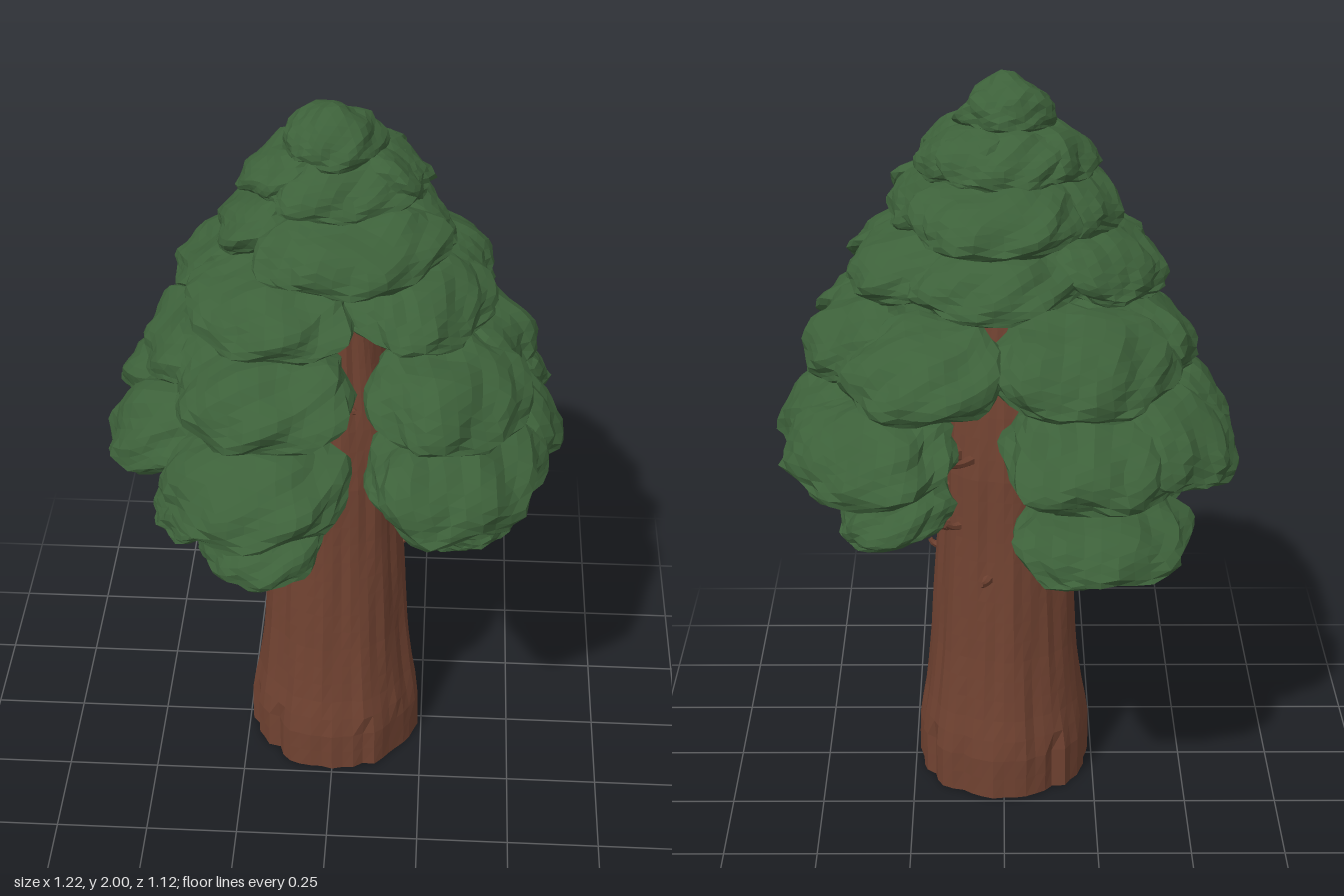
import * as THREE from 'three';

const bark = new THREE.MeshStandardMaterial({ color: 0x704231, flatShading: true });
const leaf = new THREE.MeshStandardMaterial({ color: 0x3d613a, flatShading: true });

// Tiers of foliage: height, half thickness, clumps as [x, z, half width, half depth]
const tiers = [
  { y: 0.855, h: 0.09, clumps: [[-0.34, 0.1, 0.16, 0.15], [-0.18, 0.28, 0.17, 0.15], [0.32, 0.09, 0.18, 0.15],
    [0.29, -0.17, 0.16, 0.15], [-0.25, -0.32, 0.26, 0.19]] },
  { y: 1.09, h: 0.12, clumps: [[-0.19, 0.34, 0.25, 0.2], [0.32, 0.27, 0.27, 0.19], [0.42, -0.02, 0.21, 0.17],
    [0.34, -0.31, 0.25, 0.18], [-0.23, -0.34, 0.25, 0.2], [-0.42, 0.08, 0.19, 0.18], [-0.41, -0.24, 0.21, 0.18]] },
  { y: 1.32, h: 0.11, clumps: [[-0.18, 0.27, 0.25, 0.19], [0.29, 0.25, 0.23, 0.18], [0.35, -0.08, 0.23, 0.17],
    [0.2, -0.34, 0.22, 0.18], [-0.2, -0.29, 0.26, 0.19], [-0.33, -0.02, 0.24, 0.18]] },
  { y: 1.53, h: 0.085, clumps: [[-0.16, 0.2, 0.24, 0.17], [0.22, 0.15, 0.22, 0.16], [0.24, -0.11, 0.2, 0.16],
    [0.04, -0.25, 0.23, 0.16], [-0.24, -0.1, 0.22, 0.17]] },
  { y: 1.68, h: 0.085, clumps: [[0.05, 0.17, 0.24, 0.15], [0.15, -0.03, 0.21, 0.14], [-0.15, -0.03, 0.22, 0.15],
    [0.02, -0.22, 0.21, 0.16]] },
  { y: 1.8, h: 0.075, clumps: [[0.02, 0.06, 0.19, 0.12], [0.1, -0.05, 0.17, 0.12], [-0.1, -0.04, 0.17, 0.13],
    [0, -0.12, 0.17, 0.12]] },
];

// Trunk radius by height, read between profile points
const profile = [[0, 0.235], [0.13, 0.235], [0.25, 0.215], [0.4, 0.2], [0.75, 0.18], [0.95, 0.175], [1.1, 0.16],
  [1.3, 0.13], [1.6, 0.092], [1.88, 0.03]];
function trunkRadius(y) {
  const i = Math.max(1, profile.findIndex((p) => p[0] >= y));
  const [a, b] = [profile[i - 1], profile[i]];
  return THREE.MathUtils.mapLinear(y, a[0], b[0], a[1], b[1]);
}

function add(parent, name, geometry, material) {
  const mesh = new THREE.Mesh(geometry, material);
  mesh.name = name;
  parent.add(mesh);
  return mesh;
}

function moveVertices(geometry, rule) {
  const pos = geometry.attributes.position;
  const v = new THREE.Vector3();
  for (let i = 0; i < pos.count; i++) {
    rule(v.fromBufferAttribute(pos, i), i);
    pos.setXYZ(i, v.x, v.y, v.z);
  }
  geometry.computeVertexNormals();
  return geometry;
}

// Ridged trunk with short splits around its foot
function trunkGeometry() {
  const g = new THREE.CylinderGeometry(1, 1, 1.88, 48, 32).translate(0, 0.94, 0);
  return moveVertices(g, (v) => {
    const a = Math.atan2(v.z, v.x);
    const ridge = 0.018 * Math.sin(7 * a + 2 * v.y) + 0.014 * Math.sin(13 * a - 3 * v.y)
      + 0.01 * Math.sin(21 * a + 9 * v.y);
    const split = v.y < 0.16 ? 0.07 * Math.max(0, Math.sin(11 * a + 1)) ** 12 : 0;
    const r = trunkRadius(v.y) * (1 + ridge - split);
    v.x *= r;
    v.z *= r;
  });
}

// Lumpy cushion, domed above, shallow below, drooping away from the trunk (local +z)
function clumpGeometry(width, h, depth, seed, peak = 0) {
  const g = new THREE.IcosahedronGeometry(1, 5);
  return moveVertices(g, (v) => {
    const { x, y, z } = v;
    const flat = Math.hypot(x, z);
    const lump = 1 + 0.055 * Math.sin(4.1 * x + seed * 1.7) * Math.cos(3.7 * z + seed)
      + 0.045 * Math.sin(6.3 * z + 3 * y + seed * 2.3) + 0.045 * Math.sin(8.7 * x - 5.1 * y + seed * 3.1)
      + 0.025 * Math.sin(13 * x + 11 * z + 9 * y + seed);
    const full = Math.pow(Math.max(flat, 0.01), -0.13) * lump;
    v.x = x * full * width;
    v.z = z * full * depth;
    v.y = h * (y > 0 ? y * lump : y * 0.6 * lump) + peak * Math.max(0, y) ** 4;
    v.y += h * (0.1 * Math.sin(5 * x + seed) * Math.cos(5 * z - seed) - (peak ? 0 : 0.45 * z));
  });
}

// Tapered, bent limb
function limbGeometry(points, r0, r1, sides = 6) {
  const curve = new THREE.CatmullRomCurve3(points);
  const steps = 8;
  const g = new THREE.TubeGeometry(curve, steps, 1, sides);
  return moveVertices(g, (v, i) => {
    const t = Math.floor(i / (sides + 1)) / steps;
    const c = curve.getPointAt(t);
    v.sub(c).multiplyScalar(r0 + (r1 - r0) * Math.sqrt(t)).add(c);
  });
}

export function createModel() {
  const tree = new THREE.Group();
  tree.name = 'tree';
  add(tree, 'trunk', trunkGeometry(), bark);

  const foliage = new THREE.Group();
  foliage.name = 'foliage';
  const branches = new THREE.Group();
  branches.name = 'branches';
  tree.add(foliage, branches);

  let seed = 1;
  tiers.forEach(({ y, h, clumps }, tier) => {
    for (const [x, z, width, depth] of clumps) {
      seed++;
      const angle = Math.atan2(x, z);
      const clump = add(foliage, 'foliageClump', clumpGeometry(width, h, depth, seed), leaf);
      clump.position.set(x, y, z);
      clump.rotation.y = angle;
      if (tier > 4) continue;

      // Main branch with two forks carrying the clump
      const dist = Math.hypot(x, z);
      const at = (out, side, py) => new THREE.Vector3(
        Math.sin(angle) * out + Math.cos(angle) * side, py, Math.cos(angle) * out - Math.sin(angle) * side);
      const low = y - h * 0.7;
      const r = trunkRadius(low);
      const thick = 0.034 - tier * 0.004;
      const mid = at((r + dist) / 2, 0.015 * Math.sin(seed), y - h * 0.5);
      add(branches, 'branch', limbGeometry(
        [at(r * 0.75, 0, low - 0.02), at(r + 0.02, 0, low), mid, at(dist, 0, y - h * 0.2)], thick, 0.012), bark);
      for (const side of [-1, 1]) {
        add(branches, 'fork', limbGeometry(
          [mid, at(dist * 0.85, side * width * 0.3, y - h * 0.5), at(dist, side * width * 0.55, y - h * 0.2)],
          thick * 0.5, 0.006, 5), bark);
      }
    }
  });

  // Pointed crown
  const crown = add(foliage, 'crown', clumpGeometry(0.125, 0.075, 0.12, 4, 0.03), leaf);
  crown.position.set(-0.01, 1.885, 0);

  // Bare stubs on the trunk: angle from the front, height, length
  for (const [angle, y, length] of [[2.9, 0.66, 0.07], [-1.5, 0.72, 0.03], [1.5, 0.67, 0.02], [-0.9, 0.97, 0.13],
    [1.0, 0.96, 0.13], [2.4, 0.8, 0.05], [2.1, 0.9, 0.06], [-2.6, 0.74, 0.04], [0.3, 1.2, 0.06], [2.6, 1.0, 0.1]]) {
    const r = trunkRadius(y);
    const at = (out, py) => new THREE.Vector3(Math.sin(angle) * out, py, Math.cos(angle) * out);
    add(branches, 'stub', limbGeometry(
      [at(r * 0.8, y - 0.01), at(r + length * 0.5, y), at(r + length, y + 0.015)], 0.024, 0.006), bark);
  }
  return tree;
}
